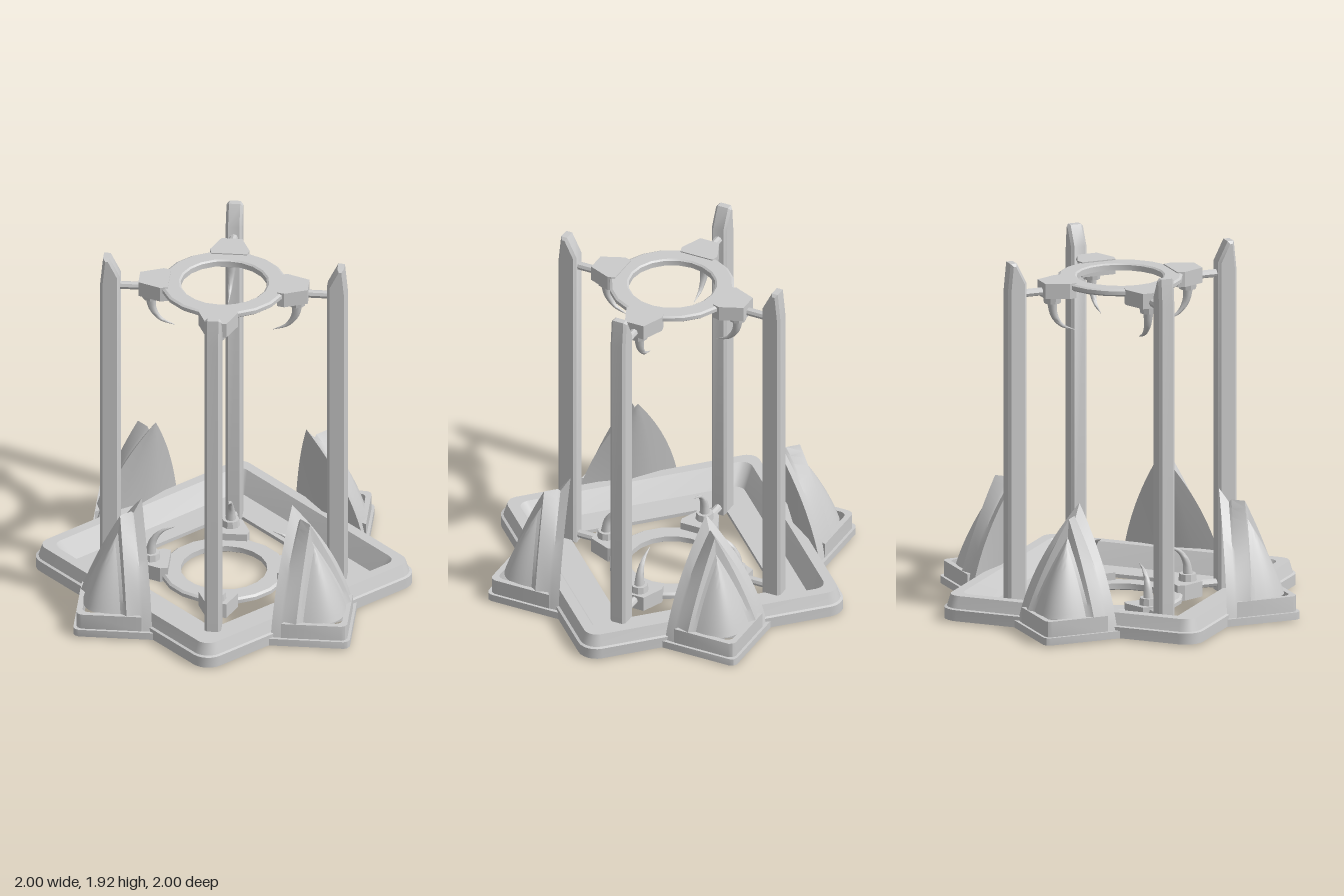
import * as THREE from 'three';
import { toCreasedNormals } from 'three/addons/utils/BufferGeometryUtils.js';

const material = new THREE.MeshStandardMaterial({ color: 0xcccccc, side: THREE.DoubleSide });
const lerp = THREE.MathUtils.lerp;

function add(parent, name, geometry, crease = 0.5) {
  const mesh = new THREE.Mesh(toCreasedNormals(geometry, crease), material);
  mesh.name = name;
  parent.add(mesh);
  return mesh;
}

// Skin between rows of [x, y, z] points
function loft(rows) {
  const n = rows[0].length, index = [];
  for (let i = 0; i < rows.length - 1; i++) {
    for (let j = 0; j < n - 1; j++) {
      const a = i * n + j, d = a + n;
      index.push(a, d, a + 1, a + 1, d, d + 1);
    }
  }
  const g = new THREE.BufferGeometry();
  g.setAttribute('position', new THREE.Float32BufferAttribute(rows.flat(2), 3));
  g.setIndex(index);
  g.computeVertexNormals();
  return g;
}

// Extrude an outline given in (x, z) upward from y0 to y1
function slab(points, y0, y1, hole) {
  const vectors = (list) => list.map(([x, z]) => new THREE.Vector2(x, -z));
  const shape = new THREE.Shape(vectors(points));
  if (hole) shape.holes.push(new THREE.Path(vectors(hole)));
  const g = new THREE.ExtrudeGeometry(shape, { depth: y1 - y0, bevelEnabled: false });
  return g.rotateX(-Math.PI / 2).translate(0, y0, 0);
}

// Square ring with rounded corners on the axes
function diamond(reach, round, y) {
  const points = [];
  for (let k = 0; k < 4; k++) {
    for (let i = 0; i <= 6; i++) {
      const q = k * Math.PI / 2, a = q + (i / 6 - 0.5) * Math.PI / 2;
      points.push([
        Math.cos(q) * (reach - round) + Math.cos(a) * round, y,
        Math.sin(q) * (reach - round) + Math.sin(a) * round]);
    }
  }
  points.push(points[0]);
  return points;
}

function createFrame() {
  const profile = [[0.61, 0.01, 0.01], [1, 0.1, 0.01], [1, 0.1, 0.07], [0.985, 0.09, 0.075],
    [0.965, 0.07, 0.14], [0.89, 0.06, 0.14], [0.81, 0.05, 0.03], [0.61, 0.01, 0.03], [0.61, 0.01, 0.01]];
  return loft(profile.map(([reach, round, y]) => diamond(reach, round, y)));
}

// Upright with a chamfered, pointed top
function createPost() {
  const side = [[0.55, 0.01], [0.655, 0.01], [0.655, 1.77], [0.64, 1.92], [0.605, 1.92], [0.55, 1.81]];
  const shape = new THREE.Shape(side.map(([x, y]) => new THREE.Vector2(x, y)));
  return new THREE.ExtrudeGeometry(shape, {
    depth: 0.06, bevelThickness: 0.014, bevelSize: 0.014, bevelOffset: -0.014, bevelSegments: 1,
  }).translate(0, 0, -0.03);
}

// Tapered hook curling toward the centre
function createClaw() {
  const curve = new THREE.CatmullRomCurve3([[0.39, 1.69], [0.378, 1.61], [0.335, 1.55], [0.26, 1.517]]
    .map(([x, y]) => new THREE.Vector3(x, y, 0)));
  const rows = [];
  for (let i = 0; i <= 10; i++) {
    const t = i / 10, p = curve.getPoint(t), d = curve.getTangent(t);
    const r = lerp(0.03, 0.001, t), row = [];
    for (let j = 0; j <= 8; j++) {
      const a = j / 8 * Math.PI * 2, u = Math.cos(a) * r;
      row.push([p.x - d.y * u, p.y + d.x * u, Math.sin(a) * r]);
    }
    rows.push(row);
  }
  return loft(rows);
}

function createClawRing() {
  const group = new THREE.Group();
  const section = [[0.23, 1.755], [0.32, 1.755], [0.333, 1.765], [0.333, 1.785],
    [0.32, 1.792], [0.24, 1.792], [0.23, 1.785], [0.23, 1.755]].map(([x, y]) => new THREE.Vector2(x, y));
  add(group, 'ring', new THREE.LatheGeometry(section, 20), 0.4);
  for (let k = 0; k < 4; k++) {
    const arm = new THREE.Group();
    arm.name = 'clawArm';
    arm.rotation.y = k * Math.PI / 2;
    add(arm, 'armPad', slab([[0.45, 0.055], [0.33, 0.105], [0.29, 0.095],
      [0.29, -0.095], [0.33, -0.105], [0.45, -0.055]], 1.715, 1.798));
    add(arm, 'armRod', new THREE.CylinderGeometry(0.022, 0.022, 0.14, 8)
      .rotateZ(Math.PI / 2).translate(0.505, 1.745, 0));
    add(arm, 'clawCollar', new THREE.CylinderGeometry(0.05, 0.045, 0.045, 10).translate(0.388, 1.7, 0));
    add(arm, 'claw', createClaw(), 0.9);
    group.add(arm);
  }
  return group;
}

// Half of a shield edge: from the apex on the diagonal down to a leg tip
function edge(apex, leg, s, bow) {
  const f = s * (1 + bow - bow * s);
  return [lerp(apex[0], leg[0], f), lerp(apex[1], leg[1], s), lerp(apex[0], leg[2], f)];
}
const mirror = ([x, y, z]) => [z, y, x];

function createFin() {
  const fin = new THREE.Group();
  const steps = 14;
  // Nested edges, each as apex [x = z, y], leg tip [x, y, z], bow
  const edges = [
    [[0.40, 0.68], [0.715, 0.05, 0.315], 0.6],
    [[0.44, 0.61], [0.718, 0.05, 0.36], 0.6],
    [[0.45, 0.625], [0.718, 0.05, 0.375], 0.55],
    [[0.505, 0.625], [0.72, 0.13, 0.45], 0.25],
    [[0.515, 0.53], [0.705, 0.13, 0.465], 0.25],
    [[0.53, 0.50], [0.695, 0.13, 0.485], 0.3],
  ];
  const line = ([apex, leg, bow]) => {
    const half = [];
    for (let i = 0; i <= steps; i++) half.push(edge(apex, leg, i / steps, bow));
    return [...half.slice(1).reverse().map(mirror), ...half];
  };
  add(fin, 'shieldRim', loft(edges.map(line)), 0.5);

  // Folded inner face and bulging outer core
  const inner = [], core = [];
  for (let i = 0; i <= steps; i++) {
    const s = i / steps;
    const p = edge(...edges[0].slice(0, 2), s, 0.6);
    const ridge = lerp(0.40, 0.49, s);
    inner.push([mirror(p), [(p[2] + ridge) / 2, p[1], (p[0] + ridge) / 2], [ridge, p[1], ridge],
      [(p[0] + ridge) / 2, p[1], (p[2] + ridge) / 2], p]);
    const c = edge(edges[5][0], edges[5][1], s, 0.3);
    const corner = lerp(0.53, 0.725, s * (1.35 - 0.35 * s));
    const row = [];
    for (let j = 0; j <= 12; j++) {
      const t = j / 12, a = (1 - t) ** 2, b = 2 * t * (1 - t), e = t * t;
      row.push([a * c[2] + b * corner + e * c[0], c[1], a * c[0] + b * corner + e * c[2]]);
    }
    core.push(row);
  }
  add(fin, 'shieldInnerFace', loft(inner), 0.7);
  add(fin, 'shieldCore', loft(core), 0.9);

  // Hollow stepped foot
  const foot = (o, tip, ridge) => [[o, tip], [o, o - 0.03], [o - 0.01, o - 0.01], [o - 0.03, o], [tip, o], [ridge, ridge]];
  add(fin, 'finFoot', slab(foot(0.72, 0.37, 0.5), 0.05, 0.135, foot(0.69, 0.46, 0.545)));
  add(fin, 'finPlate', slab(foot(0.735, 0.308, 0.5), 0.01, 0.05, foot(0.705, 0.42, 0.535)));
  return fin;
}

export function createModel() {
  const model = new THREE.Group();
  model.name = 'clawPedestal';
  add(model, 'baseFrame', createFrame());
  for (let k = 0; k < 4; k++) {
    const post = add(model, 'post', createPost());
    const fin = createFin();
    fin.name = 'cornerFin';
    post.rotation.y = fin.rotation.y = k * Math.PI / 2;
    model.add(fin);
  }
  // The lower claw ring is the upper one turned over
  const upper = createClawRing();
  upper.name = 'upperClawRing';
  const lower = createClawRing();
  lower.name = 'lowerClawRing';
  lower.rotation.x = Math.PI;
  lower.position.y = 1.798;
  model.add(upper, lower);
  return model;
}
